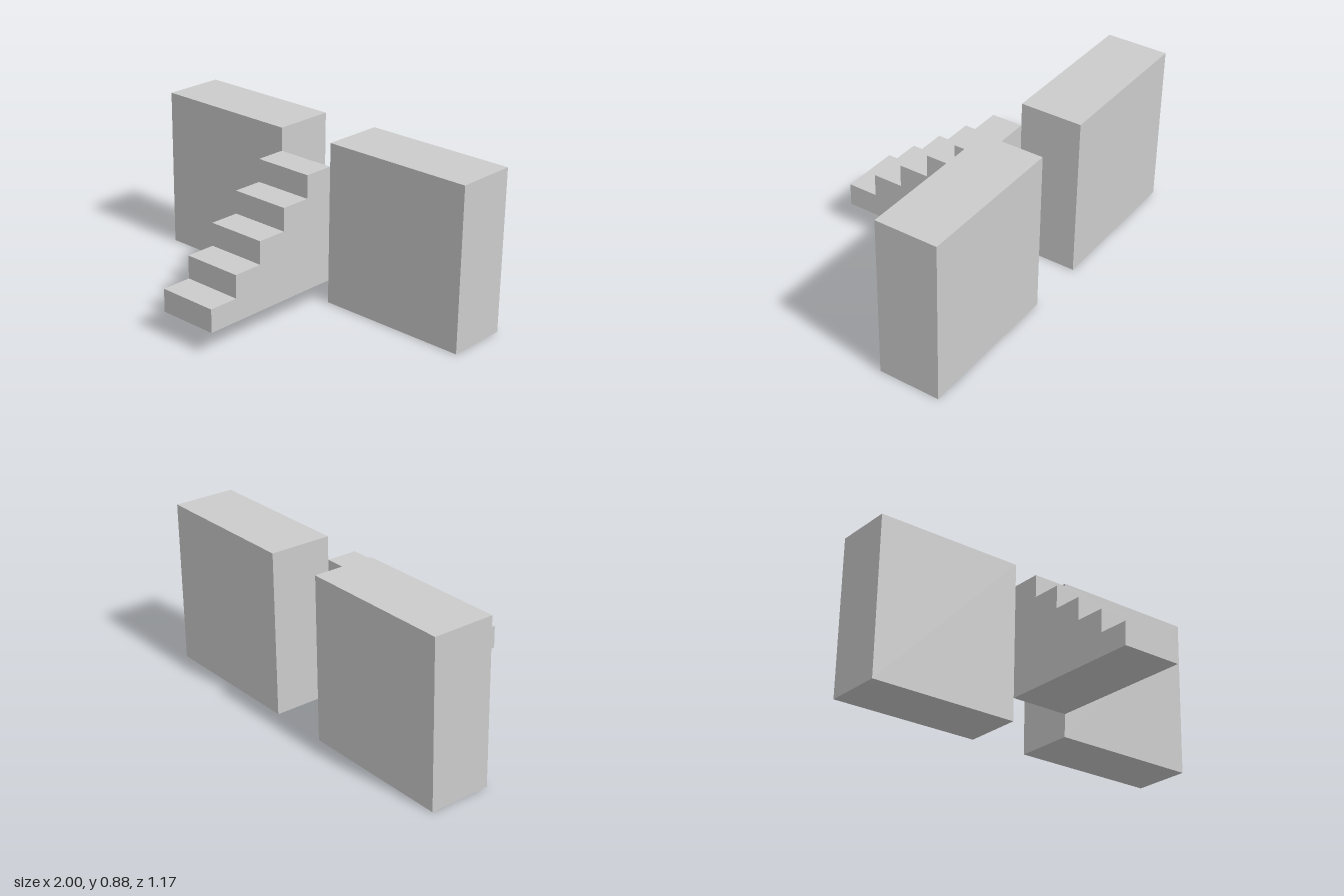
import * as THREE from 'three';

const material = new THREE.MeshStandardMaterial({ color: 0xcccccc, flatShading: true });

const STEPS = 5;
const RISE = 0.125;
const RUN = 1 / 6;
const WIDTH = 1 / 3;
const BACK = -0.25; // plane shared by the stair back and the wall fronts
const FRONT = BACK + STEPS * RUN;

// Stepped side profile (z, y) extruded across the stair width
function createStairs() {
  const profile = new THREE.Shape();
  profile.moveTo(BACK, RISE);
  profile.lineTo(FRONT, RISE);
  for (let i = 0; i < STEPS; i++) {
    const top = RISE * (i + 2);
    profile.lineTo(FRONT - i * RUN, top);
    profile.lineTo(FRONT - (i + 1) * RUN, top);
  }
  profile.closePath();
  const geometry = new THREE.ExtrudeGeometry(profile, { depth: WIDTH, bevelEnabled: false });
  geometry.translate(0, 0, -WIDTH / 2).rotateY(-Math.PI / 2);
  const stairs = new THREE.Mesh(geometry, material);
  stairs.name = 'stairs';
  return stairs;
}

// Wall block on one side of the gap
function createWall(side) {
  const length = 1 - WIDTH / 2;
  const height = 0.875;
  const depth = 1 / 3;
  const wall = new THREE.Mesh(new THREE.BoxGeometry(length, height, depth), material);
  wall.position.set(side * (WIDTH / 2 + length / 2), height / 2, BACK - depth / 2);
  wall.name = side > 0 ? 'leftWall' : 'rightWall';
  return wall;
}

export function createModel() {
  const model = new THREE.Group();
  model.name = 'stairsBetweenWalls';
  model.add(createStairs(), createWall(1), createWall(-1));
  return model;
}
